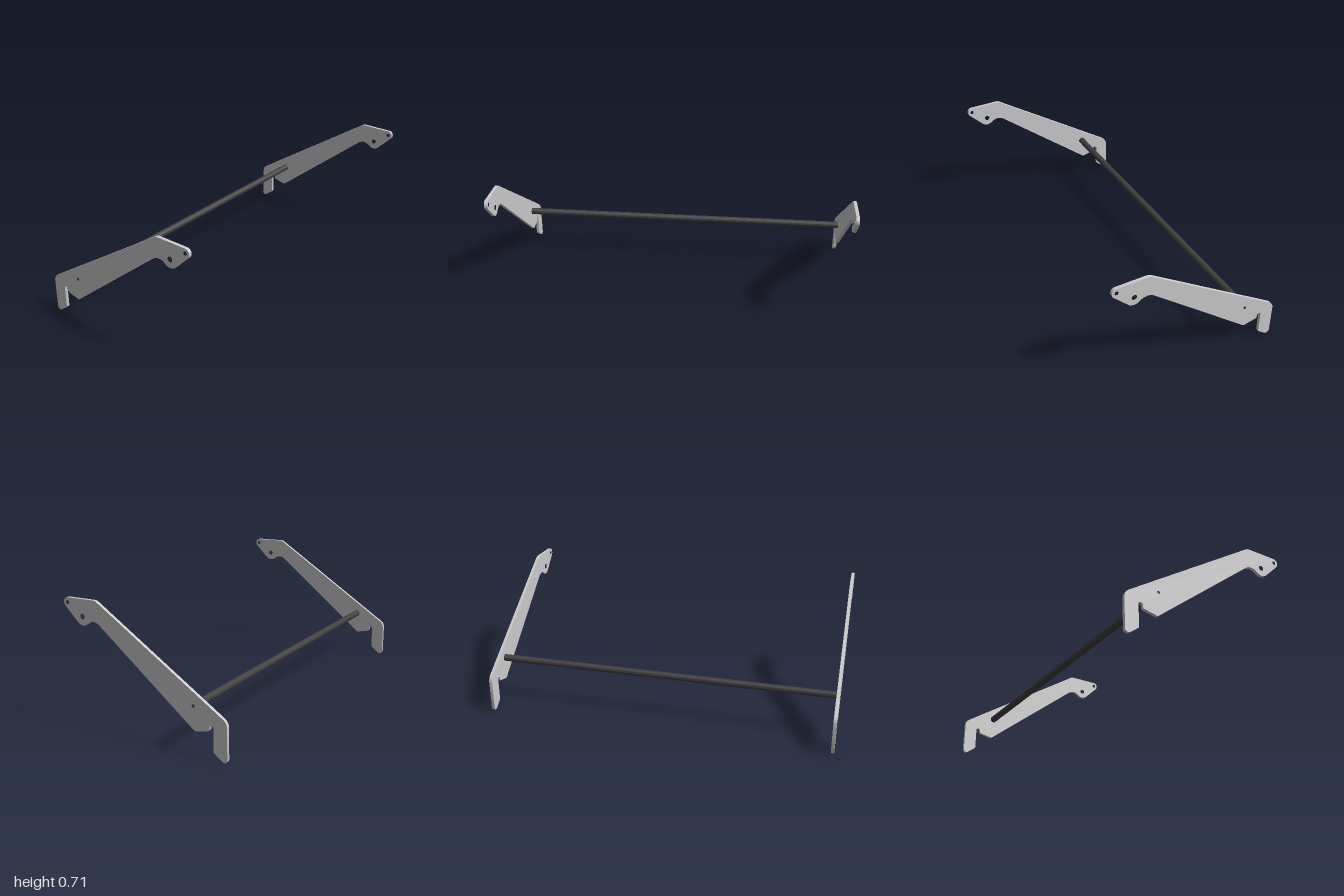
import * as THREE from 'three';
import { toCreasedNormals } from 'three/addons/utils/BufferGeometryUtils.js';

const T = 0.018; // plate thickness

// Closed outline through corners [z, y, radius], each rounded by a tangent arc
function roundedOutline(corners) {
  const points = [];
  const n = corners.length;
  corners.forEach(([z, y, r], i) => {
    const p = new THREE.Vector2(-z, y);
    const at = (k) => new THREE.Vector2(-corners[k % n][0], corners[k % n][1]);
    const u = at(i + n - 1).sub(p).normalize();
    const v = at(i + 1).sub(p).normalize();
    const half = Math.acos(u.dot(v)) / 2;
    const centre = u.clone().add(v).normalize().multiplyScalar(r / Math.sin(half)).add(p);
    const t = r / Math.tan(half);
    const start = u.multiplyScalar(t).add(p).sub(centre);
    const end = v.multiplyScalar(t).add(p).sub(centre);
    const a = start.angle();
    let sweep = end.angle() - a;
    if (sweep > Math.PI) sweep -= 2 * Math.PI;
    if (sweep < -Math.PI) sweep += 2 * Math.PI;
    const steps = Math.max(3, Math.ceil(Math.abs(sweep) / 0.15));
    for (let k = 0; k <= steps; k++) {
      const b = a + (sweep * k) / steps;
      points.push(new THREE.Vector2(centre.x + r * Math.cos(b), centre.y + r * Math.sin(b)));
    }
  });
  return new THREE.Shape(points);
}

function addHole(shape, z, y, r) {
  shape.holes.push(new THREE.Path().absarc(-z, y, r, 0, Math.PI * 2, true));
}

// Extrude along x, centred, with smooth curves and sharp rims
function extrudeAlongX(shape, depth) {
  const geo = new THREE.ExtrudeGeometry(shape, { depth, bevelEnabled: false, curveSegments: 32 });
  geo.translate(0, 0, -depth / 2);
  geo.rotateY(Math.PI / 2);
  return toCreasedNormals(geo, 0.6);
}

export function createModel() {
  const group = new THREE.Group();
  const plateMaterial = new THREE.MeshStandardMaterial({ color: 0xcccccc });
  const rodMaterial = new THREE.MeshStandardMaterial({ color: 0x404040 });

  // Side arm: nose, long sloping beam, slot and foot
  const arm = roundedOutline([
    [0.4975, 0.7025, 0.025], // nose
    [0.289, 0.708, 0.05], // shoulder
    [-0.4975, 0.212, 0.05], // rear corner
    [-0.4975, -0.017, 0.018], // foot tip
    [-0.42, 0.04, 0.012],
    [-0.42, 0.178, 0.0115], // slot
    [-0.396, 0.178, 0.0115],
    [-0.396, 0.149, 0.012],
    [-0.312, 0.129, 0.012], // beam heel
    [0.305, 0.611, 0.06], // concave throat
    [0.378, 0.549, 0.048], // boss
    [0.4975, 0.664, 0.025],
  ]);
  addHole(arm, 0.473, 0.677, 0.0105);
  addHole(arm, 0.376, 0.613, 0.0146);
  addHole(arm, -0.304, 0.261, 0.0085);
  const armGeometry = extrudeAlongX(arm, T);
  for (const [name, side] of [['leftArm', 1], ['rightArm', -1]]) {
    const mesh = new THREE.Mesh(armGeometry, plateMaterial);
    mesh.name = name;
    mesh.position.x = side * (1 - T / 2);
    group.add(mesh);
  }

  // Hollow cross rod between the arms
  const ring = new THREE.Shape().absarc(0.304, 0.261, 0.02, 0, Math.PI * 2, false);
  addHole(ring, -0.304, 0.261, 0.0085);
  const rod = new THREE.Mesh(extrudeAlongX(ring, 2 - 2 * T), rodMaterial);
  rod.name = 'crossRod';
  group.add(rod);

  return group;
}
